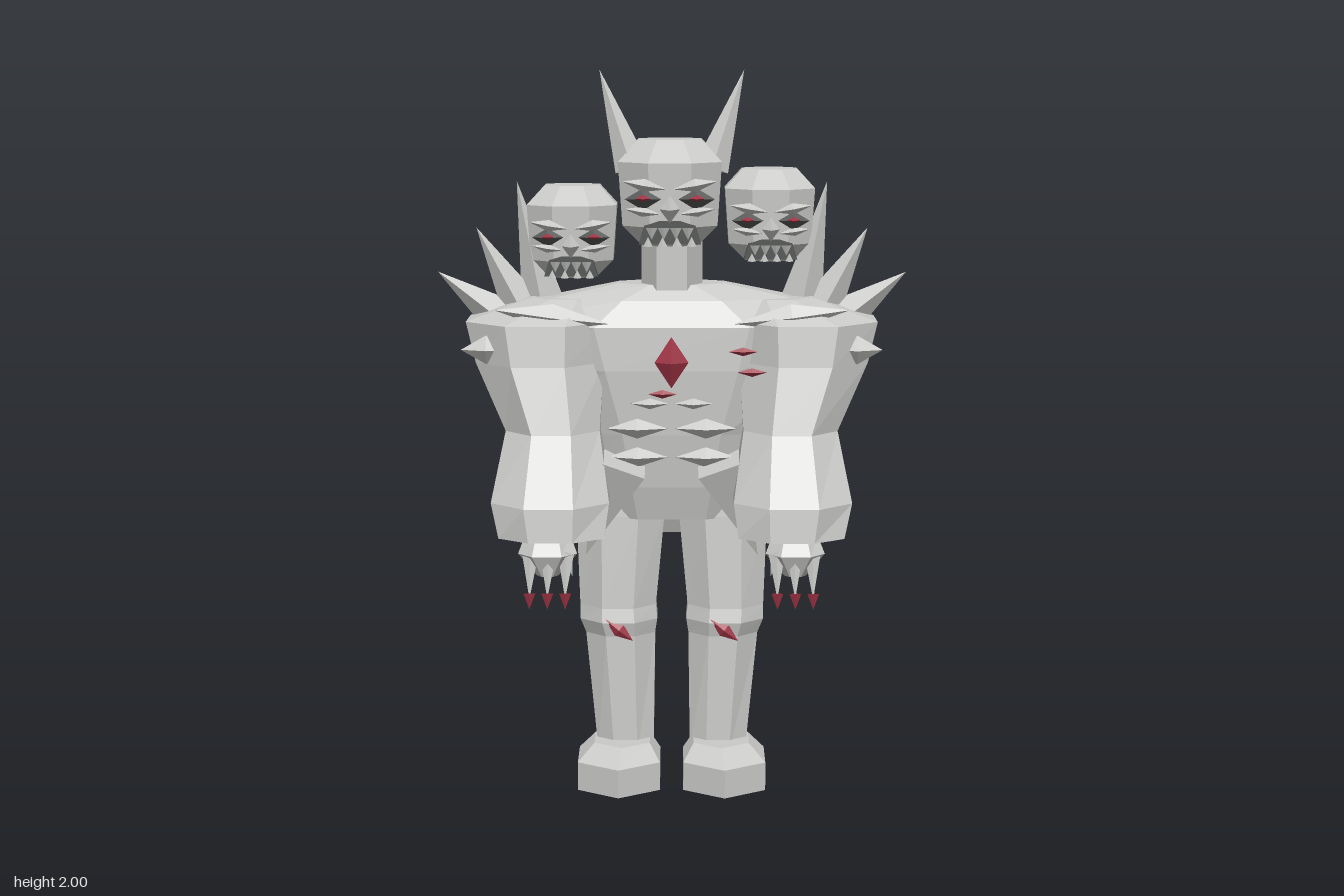
import * as THREE from 'three';

const stone = new THREE.MeshStandardMaterial({ color: 0xcacac8, flatShading: true });
stone.name = 'pale stone';
const dark = new THREE.MeshStandardMaterial({ color: 0x505351, flatShading: true });
dark.name = 'dark grey';
const red = new THREE.MeshStandardMaterial({ color: 0xa03444, flatShading: true });
red.name = 'crystal red';

function add(parent, name, geometry, material = stone) {
  const mesh = new THREE.Mesh(geometry, material);
  mesh.name = name;
  parent.add(mesh);
  return mesh;
}

// Skin through rings [y, centreX, centreZ, radiusX, radiusZ], listed bottom to top
function loft(rings, sides = 8, turn = 0.5) {
  const pos = [], idx = [], top = (rings.length - 1) * sides;
  for (const [y, cx, cz, rx, rz] of rings) {
    for (let i = 0; i < sides; i++) {
      const a = ((i + turn) / sides) * Math.PI * 2;
      pos.push(cx + rx * Math.sin(a), y, cz + rz * Math.cos(a));
    }
  }
  for (let r = 0; r < rings.length - 1; r++) {
    for (let i = 0; i < sides; i++) {
      const a = r * sides + i, b = r * sides + (i + 1) % sides;
      idx.push(a, b, b + sides, a, b + sides, a + sides);
    }
  }
  for (let i = 1; i < sides - 1; i++) {
    idx.push(0, i + 1, i, top, top + i, top + i + 1);
  }
  const g = new THREE.BufferGeometry();
  g.setAttribute('position', new THREE.Float32BufferAttribute(pos, 3));
  g.setIndex(idx);
  g.computeVertexNormals();
  return g;
}

// Stretched octahedron
function shard(parent, name, x, y, z, hx, hy, hz, material = stone, roll = 0) {
  const m = add(parent, name, new THREE.OctahedronGeometry(1), material);
  m.position.set(x, y, z);
  m.scale.set(hx, hy, hz);
  m.rotation.z = roll;
  return m;
}

// Cone running from a base point to a tip
function spike(parent, name, base, tip, radius, sides = 4, material = stone) {
  const a = new THREE.Vector3(...base), b = new THREE.Vector3(...tip);
  const dir = b.clone().sub(a);
  const m = add(parent, name, new THREE.ConeGeometry(radius, dir.length(), sides), material);
  m.position.copy(a).add(b).multiplyScalar(0.5);
  m.quaternion.setFromUnitVectors(new THREE.Vector3(0, 1, 0), dir.normalize());
  return m;
}

// Head with its face, centred on its own origin
function makeHead(name) {
  const head = new THREE.Group();
  head.name = name;
  add(head, 'skull', loft([
    [-0.145, 0, 0.0, 0.085, 0.085], [-0.09, 0, 0, 0.142, 0.132],
    [0.085, 0, 0, 0.155, 0.14], [0.145, 0, -0.028, 0.095, 0.085],
  ]));
  for (const s of [-1, 1]) {
    shard(head, 'brow', s * 0.07, 0.026, 0.132, 0.062, 0.018, 0.03, stone, s * 0.18);
    shard(head, 'eyeSocket', s * 0.073, -0.012, 0.125, 0.05, 0.03, 0.025, dark);
    shard(head, 'eye', s * 0.073, -0.01, 0.14, 0.022, 0.011, 0.018, red);
    shard(head, 'cheek', s * 0.075, -0.046, 0.125, 0.05, 0.014, 0.025, stone, s * 0.15);
  }
  shard(head, 'nose', 0, -0.038, 0.145, 0.028, 0.038, 0.052);
  // Open mouth with two rows of fangs
  const mouth = new THREE.Shape();
  mouth.moveTo(-0.085, -0.135);
  mouth.lineTo(0.085, -0.135);
  mouth.lineTo(0.07, -0.085);
  mouth.lineTo(0.03, -0.072);
  mouth.lineTo(-0.03, -0.072);
  mouth.lineTo(-0.07, -0.085);
  add(head, 'mouth', new THREE.ExtrudeGeometry(mouth, { depth: 0.035, bevelEnabled: false }), dark)
    .position.z = 0.095;
  for (let i = -1.5; i <= 1.5; i++) {
    const x = i * 0.033;
    spike(head, 'upperFang', [x, -0.09, 0.13], [x, -0.122, 0.134], 0.016);
    spike(head, 'lowerFang', [x * 1.2, -0.14, 0.13], [x * 1.2, -0.114, 0.132], 0.013);
  }
  return head;
}

export function createModel() {
  const model = new THREE.Group();
  model.name = 'threeHeadedDemon';

  // Trunk
  add(model, 'torso', loft([
    [0.755, 0, -0.125, 0.25, 0.125], [0.85, 0, -0.12, 0.29, 0.145],
    [1.0, 0, -0.125, 0.355, 0.17], [1.18, 0, -0.13, 0.48, 0.185],
    [1.3, 0, -0.135, 0.56, 0.185], [1.37, 0, -0.14, 0.36, 0.15],
    [1.41, 0, -0.13, 0.16, 0.09],
  ]));
  add(model, 'neck', loft([[1.37, 0, -0.1, 0.085, 0.08], [1.54, 0, -0.1, 0.085, 0.08]], 6));

  // Heads
  const heads = [
    ['middleHead', -0.005, 1.665, -0.09, 1], ['leftHead', 0.275, 1.595, -0.205, 0.88],
    ['rightHead', -0.28, 1.55, -0.185, 0.88],
  ];
  for (const [name, x, y, z, s] of heads) {
    const head = makeHead(name);
    head.position.set(x, y, z);
    head.scale.setScalar(s);
    model.add(head);
  }

  for (const s of [-1, 1]) {
    const side = s > 0 ? 'left' : 'right';
    spike(model, side + 'Horn', [s * 0.11, 1.73, -0.09], [s * 0.2, 2, -0.115], 0.05, 5);

    // Arm swinging forward
    const arm = new THREE.Group();
    arm.name = side + 'Arm';
    model.add(arm);
    add(arm, 'sleeve', loft([
      [0.75, s * 0.325, 0.185, 0.155, 0.118], [0.84, s * 0.33, 0.125, 0.174, 0.172],
      [1.02, s * 0.327, 0.01, 0.14, 0.165], [1.2, s * 0.365, -0.075, 0.192, 0.2],
      [1.31, s * 0.372, -0.107, 0.215, 0.218], [1.37, s * 0.3, -0.14, 0.1, 0.11],
    ]));
    add(arm, 'hand', loft([
      [0.65, s * 0.335, 0.235, 0.03, 0.025], [0.71, s * 0.335, 0.235, 0.08, 0.055],
      [0.76, s * 0.335, 0.21, 0.06, 0.05],
    ], 6));
    for (let i = -1; i <= 1; i++) {
      const x = s * (0.333 + i * 0.048);
      spike(arm, 'finger', [x, 0.71, 0.245], [x, 0.6, 0.305], 0.022);
      spike(arm, 'claw', [x, 0.615, 0.304], [x, 0.573, 0.313], 0.016, 4, red);
    }
    spike(arm, 'thumb', [s * 0.29, 0.71, 0.2], [s * 0.27, 0.64, 0.2], 0.022);

    // Shoulder spikes and plates
    spike(model, side + 'ShoulderSpike', [s * 0.46, 1.29, -0.16], [s * 0.66, 1.435, -0.17], 0.065);
    spike(model, side + 'ShoulderSpike', [s * 0.42, 1.33, -0.16], [s * 0.55, 1.56, -0.17], 0.06);
    spike(model, side + 'ShoulderSpike', [s * 0.365, 1.35, -0.17], [s * 0.435, 1.69, -0.17], 0.06);
    shard(model, side + 'ShoulderShard', s * 0.51, 1.24, 0.04, 0.07, 0.04, 0.03);
    shard(model, side + 'ChestShard', s * 0.33, 1.33, 0.035, 0.16, 0.036, 0.03, stone, s * 0.12);

    // Belly ridges
    for (const [y, x, w] of [[1.09, 0.06, 0.055], [1.02, 0.095, 0.085], [0.94, 0.095, 0.085]]) {
      shard(model, side + 'BellyRidge', s * x, y, 0.035, w, y > 1.05 ? 0.016 : 0.028, 0.03);
    }
    // Jagged hip spikes
    spike(model, side + 'HipSpike', [s * 0.14, 0.93, 0.06], [s * 0.24, 0.66, 0.02], 0.1);
    spike(model, side + 'BackHipSpike', [s * 0.18, 0.85, -0.17], [s * 0.2, 0.66, -0.19], 0.07);

    // Leg with knee ridge, and boot
    add(model, side + 'Leg', loft([
      [0.08, s * 0.13, -0.055, 0.085, 0.065], [0.42, s * 0.145, -0.1, 0.106, 0.105],
      [0.46, s * 0.15, -0.1, 0.118, 0.115], [0.5, s * 0.152, -0.105, 0.116, 0.11],
      [0.76, s * 0.145, -0.13, 0.135, 0.118], [0.9, s * 0.13, -0.13, 0.1, 0.1],
    ]));
    add(model, side + 'Boot', loft([
      [0, s * 0.148, 0.01, 0.133, 0.157], [0.08, s * 0.148, 0.01, 0.133, 0.157],
      [0.12, s * 0.14, -0.025, 0.09, 0.11],
    ], 6, 0));
    shard(model, side + 'KneeCrystal', s * 0.148, 0.44, 0.004, 0.05, 0.02, 0.01, red, -0.67);
  }

  // Back hem
  add(model, 'backHem', loft([
    [0.68, 0, -0.22, 0.17, 0.02], [0.84, 0, -0.19, 0.24, 0.07],
  ], 6));

  // Chest crystals
  shard(model, 'heartCrystal', 0, 1.22, 0.155, 0.046, 0.07, 0.03, red);
  for (const [x, y] of [[-0.025, 1.125], [0.195, 1.242], [0.22, 1.185]]) {
    shard(model, 'smallCrystal', x, y, 0.095, 0.04, 0.012, 0.01, red);
  }
  return model;
}
